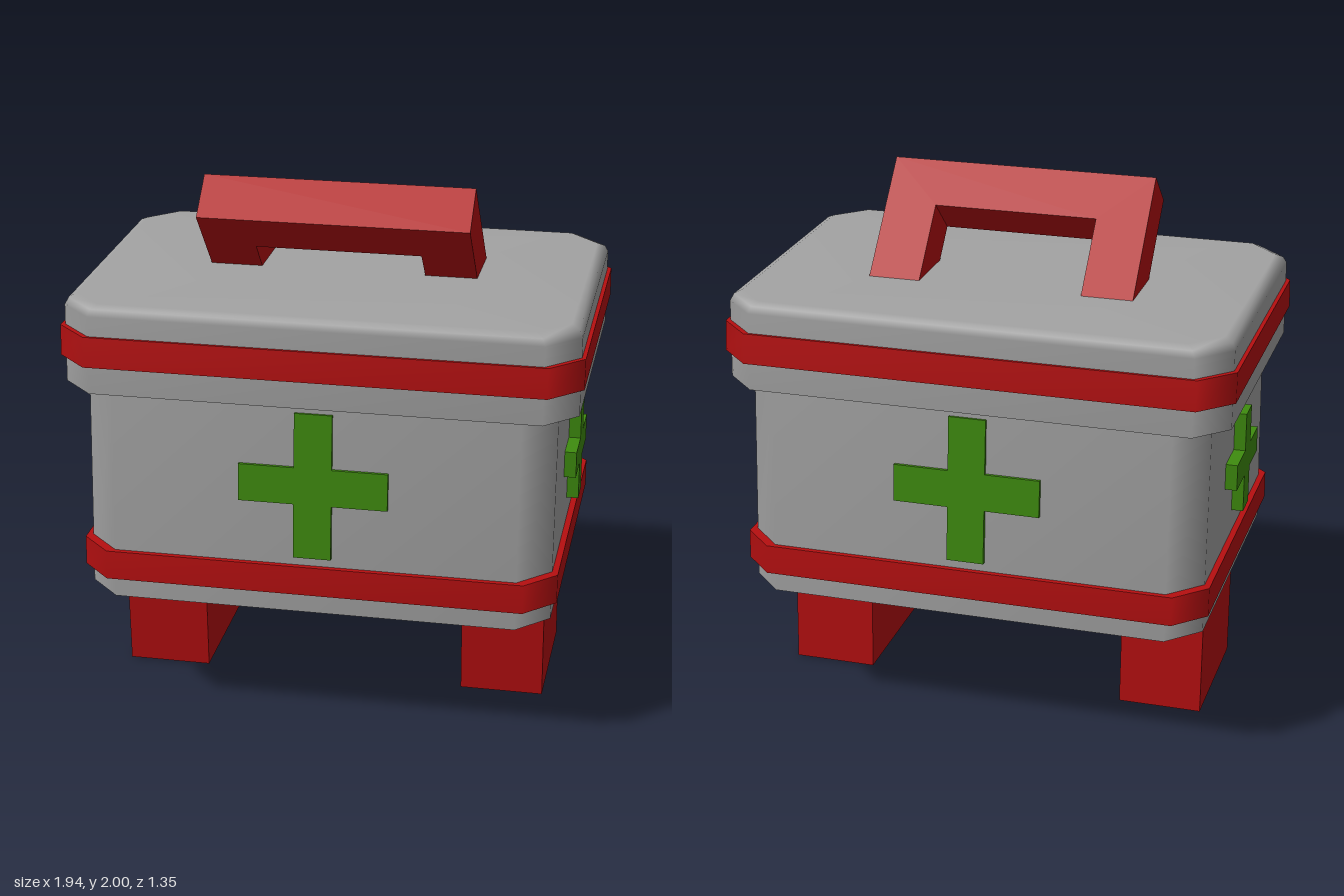
import * as THREE from 'three';

// Smooth prism with chamfered corners; rings are [y, halfX, halfZ, chamfer] from bottom to top
function chamferedPrism(rings, softTop = false) {
  const pos = [], idx = [];
  const addRing = ([y, hx, hz, c]) => {
    const start = pos.length / 3;
    [[hx, -hz + c], [hx - c, -hz], [-hx + c, -hz], [-hx, -hz + c],
      [-hx, hz - c], [-hx + c, hz], [hx - c, hz], [hx, hz - c]]
      .forEach(([x, z]) => pos.push(x, y, z));
    return start;
  };
  const addCap = (start, y, up) => {
    const centre = pos.length / 3;
    pos.push(0, y, 0);
    for (let i = 0; i < 8; i++) {
      const a = start + i, b = start + (i + 1) % 8;
      if (up) idx.push(centre, a, b); else idx.push(centre, b, a);
    }
  };
  const starts = rings.map(addRing);
  for (let r = 0; r < rings.length - 1; r++) {
    for (let i = 0; i < 8; i++) {
      const j = (i + 1) % 8, lo = starts[r], hi = starts[r + 1];
      idx.push(lo + i, lo + j, hi + j, lo + i, hi + j, hi + i);
    }
  }
  const last = rings[rings.length - 1];
  addCap(addRing(rings[0]), rings[0][0], false);
  addCap(softTop ? starts[starts.length - 1] : addRing(last), last[0], true);
  const g = new THREE.BufferGeometry();
  g.setAttribute('position', new THREE.Float32BufferAttribute(pos, 3));
  g.setIndex(idx);
  g.computeVertexNormals();
  return g;
}

// Plus-shaped plate: arm length a, half arm width w
function crossGeometry(a, w, depth) {
  const pts = [[w, -a], [w, -w], [a, -w], [a, w], [w, w], [w, a],
    [-w, a], [-w, w], [-a, w], [-a, -w], [-w, -w], [-w, -a]];
  const shape = new THREE.Shape(pts.map(([x, y]) => new THREE.Vector2(x, y)));
  return new THREE.ExtrudeGeometry(shape, { depth, bevelEnabled: false });
}

export function createModel() {
  const grey = new THREE.MeshStandardMaterial({ color: 0xa3a3a3 });
  grey.name = 'caseGrey';
  const red = new THREE.MeshStandardMaterial({ color: 0xb60f10, side: THREE.DoubleSide });
  red.name = 'trimRed';
  const green = new THREE.MeshStandardMaterial({ color: 0x3f8c0f });
  green.name = 'crossGreen';

  const model = new THREE.Group();
  model.name = 'firstAidCase';
  const add = (name, geometry, material) => {
    const mesh = new THREE.Mesh(geometry, material);
    mesh.name = name;
    model.add(mesh);
    return mesh;
  };

  // Case and lid
  add('caseBody', chamferedPrism([[0.48, 0.88, 0.66, 0.12], [1.3, 0.88, 0.61, 0.12]]), grey);
  add('lid', chamferedPrism([
    [1.29, 0.957, 0.646, 0.12], [1.585, 0.957, 0.633, 0.12],
    [1.61, 0.945, 0.62, 0.118], [1.625, 0.915, 0.595, 0.112]], true), grey);

  // Trim bands
  add('lidBand', chamferedPrism([[1.397, 0.972, 0.66, 0.12], [1.51, 0.972, 0.647, 0.12]]), red);
  add('baseBand', chamferedPrism([[0.557, 0.903, 0.677, 0.115], [0.667, 0.903, 0.669, 0.115]]), red);

  // Crosses: front and back follow the sloping walls, the side ones stand upright
  const bigCross = crossGeometry(0.28, 0.071, 0.03);
  const smallCross = crossGeometry(0.2, 0.051, 0.055);
  for (const s of [1, -1]) {
    const big = add(s > 0 ? 'frontCross' : 'backCross', bigCross, green);
    big.rotation.order = 'YXZ';
    big.rotation.set(-0.075, s > 0 ? 0 : Math.PI, 0);
    big.position.set(0, 0.98, s * 0.614);
    const small = add(s > 0 ? 'leftCross' : 'rightCross', smallCross, green);
    small.rotation.y = s * Math.PI / 2;
    small.position.set(s * 0.87, 0.96, 0);
  }

  // Hollow feet, open underneath and leaning slightly back
  const foot = new THREE.BoxGeometry(0.32, 0.48, 0.54);
  const p = foot.attributes.position;
  for (let i = 0; i < p.count; i++) if (p.getY(i) < 0) p.setZ(i, p.getZ(i) - 0.02);
  const faces = Array.from(foot.index.array);
  faces.splice(18, 6);
  foot.setIndex(faces);
  foot.clearGroups();
  foot.computeVertexNormals();
  for (const s of [1, -1]) {
    add(s > 0 ? 'leftFoot' : 'rightFoot', foot, red).position.set(s * 0.67, 0.24, 0);
  }

  // Carrying handle, tilted towards the front
  const u = [[-0.513, 0], [-0.315, 0], [-0.315, 0.323], [0.315, 0.323],
    [0.315, 0], [0.513, 0], [0.513, 0.513], [-0.513, 0.513]];
  const handleShape = new THREE.Shape(u.map(([x, y]) => new THREE.Vector2(x, y)));
  const handle = add('handle',
    new THREE.ExtrudeGeometry(handleShape, { depth: 0.19, bevelEnabled: false }), red);
  handle.rotation.x = 0.738;
  handle.position.set(0, 1.62, -0.215);

  return model;
}
